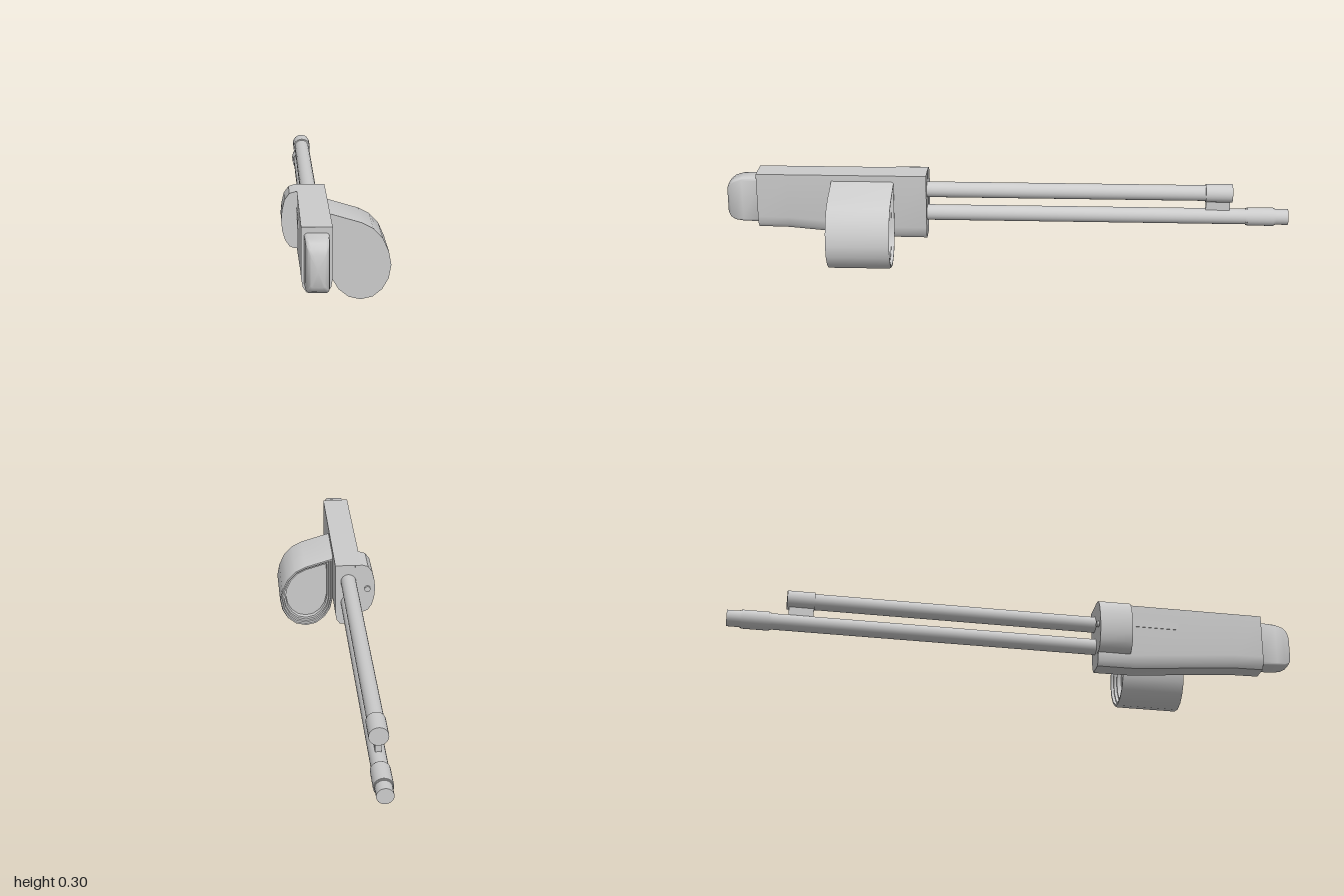
import * as THREE from 'three';
import { toCreasedNormals } from 'three/addons/utils/BufferGeometryUtils.js';

const CX = -0.075; // centre line of receiver and tubes

// Skin over rings of [x, y, z] points, counter-clockwise seen from +z, front ring first
function loft(rings, crease = 0.6) {
  const n = rings[0].length, pos = [], idx = [];
  rings.forEach(r => r.forEach(p => pos.push(...p)));
  for (let i = 0; i < rings.length - 1; i++) {
    for (let j = 0; j < n; j++) {
      const a = i * n + j, b = i * n + (j + 1) % n;
      idx.push(a, a + n, b + n, a, b + n, b);
    }
  }
  const cap = (start, back) => {
    const c = pos.length / 3, ring = rings[start / n];
    pos.push(...[0, 1, 2].map(k => ring.reduce((s, p) => s + p[k], 0) / n));
    for (let j = 0; j < n; j++) {
      const a = start + j, b = start + (j + 1) % n;
      if (back) idx.push(c, b, a); else idx.push(c, a, b);
    }
  };
  cap(0, false);
  cap((rings.length - 1) * n, true);
  const g = new THREE.BufferGeometry();
  g.setAttribute('position', new THREE.Float32BufferAttribute(pos, 3));
  g.setIndex(idx);
  return toCreasedNormals(g, crease);
}

// Rounded rectangle ring on the centre line
function roundedRing(z, hw, top, bottom, r) {
  const ring = [];
  [[1, 1], [-1, 1], [-1, -1], [1, -1]].forEach(([sx, sy], q) => {
    for (let k = 0; k <= 4; k++) {
      const a = (q + k / 4) * Math.PI / 2;
      ring.push([CX + sx * (hw - r) + r * Math.cos(a),
        (sy > 0 ? top - r : bottom + r) + r * Math.sin(a), z]);
    }
  });
  return ring;
}

export function createModel() {
  const model = new THREE.Group();
  const mat = new THREE.MeshStandardMaterial({ color: 0xcccccc });
  const add = (name, geometry) => {
    const m = new THREE.Mesh(geometry, mat);
    m.name = name;
    model.add(m);
    return m;
  };
  const rod = (name, r, y, zFront, zBack, x = CX) => {
    const g = new THREE.CylinderGeometry(r, r, zFront - zBack, 24);
    g.rotateX(Math.PI / 2);
    add(name, g).position.set(x, y, (zFront + zBack) / 2);
  };

  // Receiver with rounded lower edges and a sloping belly
  const bodyRing = (z, b) => [[-0.122, 0.305], [-0.122, b + 0.043], [-0.117, b + 0.016], [-0.105, b],
    [-0.044, b], [-0.032, b + 0.016], [-0.027, b + 0.043], [-0.027, 0.305]].map(([x, y]) => [x, y, z]);
  add('receiver', loft([bodyRing(0.89, 0.102), bodyRing(0.78, 0.1), bodyRing(0.42, 0.068), bodyRing(0.285, 0.067)]));

  // Rounded front pad
  add('frontPad', loft([
    [1, 0.022, 0.245, 0.148], [0.992, 0.029, 0.263, 0.134], [0.975, 0.034, 0.277, 0.125],
    [0.945, 0.0365, 0.285, 0.121], [0.88, 0.0385, 0.287, 0.12],
  ].map(([z, hw, top, bottom]) => roundedRing(z, hw, top, bottom, 0.01)), 0.8));

  // Drum with a stepped recess in its back face
  const drum = [[-0.027, 0.283], [0.077, 0.252], [0.114, 0.233], [0.145, 0.2], [0.164, 0.157],
    [0.172, 0.113], [0.164, 0.07], [0.143, 0.034], [0.113, 0.01], [0.074, 0.001],
    [0.036, 0.01], [0.004, 0.035], [-0.017, 0.07], [-0.027, 0.113]].reverse();
  const drumRing = ([s, z]) => drum.map(([x, y]) => [0.07 + (x - 0.07) * s, 0.13 + (y - 0.13) * s, z]);
  add('drum', loft([[1, 0.622], [1, 0.408], [0.97, 0.4], [0.92, 0.4], [0.91, 0.41], [0.86, 0.41],
    [0.85, 0.42], [0.79, 0.42], [0.77, 0.435]].map(drumRing)));

  // Side housing with its rear pin
  const housing = [[-0.1, 0.305], [-0.128, 0.305], [-0.147, 0.299], [-0.163, 0.277], [-0.171, 0.243],
    [-0.174, 0.21], [-0.171, 0.175], [-0.162, 0.143], [-0.147, 0.121], [-0.13, 0.114], [-0.1, 0.114]];
  add('sideHousing', loft([0.4, 0.284].map(z => housing.map(([x, y]) => [x, y, z]))));
  rod('housingPin', 0.011, 0.21, 0.29, 0.275, -0.145);

  // Port cover on the receiver's side
  add('portCover', new THREE.BoxGeometry(0.006, 0.028, 0.19)).position.set(-0.121, 0.237, 0.485);

  // Upper and lower tubes with end sleeves
  rod('upperTube', 0.028, 0.24, 0.3, -0.79);
  rod('upperSleeve', 0.0325, 0.24, -0.705, -0.8);
  rod('lowerTube', 0.028, 0.153, 0.3, -1);
  rod('lowerSleeve', 0.0325, 0.153, -0.855, -0.95);
  rod('lowerSleeveLip', 0.03, 0.153, -0.85, -0.955);

  // Bracket joining the tubes
  add('tubeBracket', new THREE.BoxGeometry(0.02, 0.06, 0.085)).position.set(CX, 0.197, -0.75);

  return model;
}
